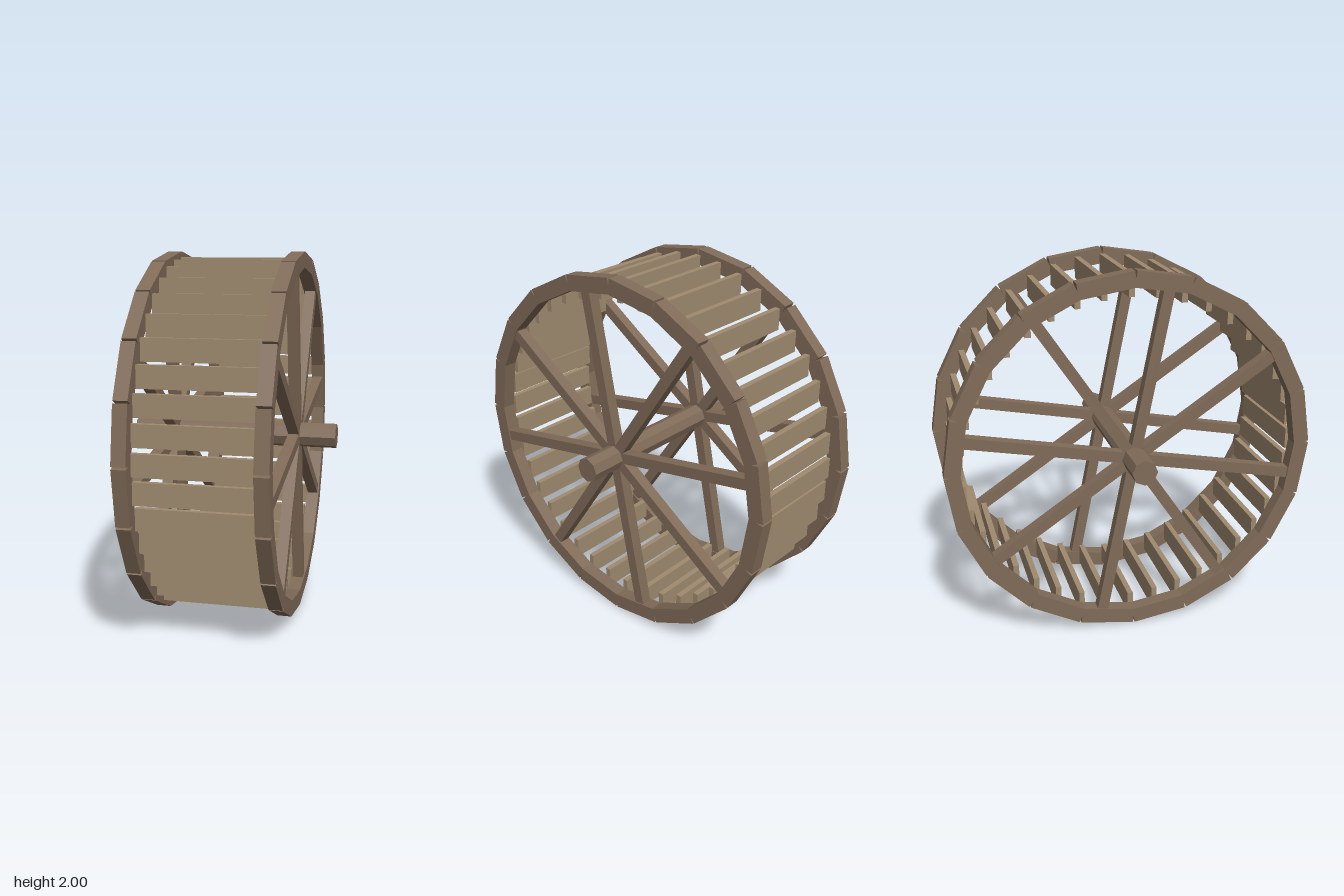
import * as THREE from 'three';

export function createModel() {
  const wheel = new THREE.Group();
  wheel.name = 'waterWheel';
  wheel.position.y = 1;
  const root = new THREE.Group();
  root.add(wheel);

  const darkWood = new THREE.MeshStandardMaterial({ color: 0x806b58 });
  darkWood.name = 'darkWood';
  const lightWood = new THREE.MeshStandardMaterial({ color: 0x9f8a6f });
  lightWood.name = 'lightWood';

  // Places a mesh at an angle around the x axis, measured from +y towards +z
  const place = (geometry, material, name, x, radius, angle, turn, parent) => {
    const mesh = new THREE.Mesh(geometry, material);
    mesh.name = name;
    mesh.position.set(x, radius * Math.cos(angle), radius * Math.sin(angle));
    if (turn) mesh.rotation.x = angle;
    parent.add(mesh);
  };

  const rimInner = 0.903, rimOuter = 0.988;
  const rimBlock = new THREE.BoxGeometry(0.075, rimOuter - rimInner, 0.3);
  const spokeLength = 0.91;
  const spoke = new THREE.BoxGeometry(0.06, spokeLength, 0.06);

  // Two side rings with straight blocks, open joints outside, and eight spokes
  for (const side of [-1, 1]) {
    const ring = new THREE.Group();
    ring.name = side > 0 ? 'leftRing' : 'rightRing';
    const x = side * 0.3425;
    for (let i = 0; i < 20; i++) {
      const angle = (i + 0.5) * Math.PI / 10;
      place(rimBlock, darkWood, 'rimBlock', x, (rimInner + rimOuter) / 2, angle, true, ring);
    }
    for (let i = 0; i < 8; i++) {
      const angle = THREE.MathUtils.degToRad(11.25 + 45 * i);
      place(spoke, darkWood, 'spoke', x, spokeLength / 2, angle, true, ring);
    }
    wheel.add(ring);
  }

  // Forty upright slats between the rings
  const slats = new THREE.Group();
  slats.name = 'slats';
  const slat = new THREE.BoxGeometry(0.61, 0.116, 0.031);
  for (let i = 0; i < 40; i++) {
    place(slat, lightWood, 'slat', 0, 0.91, i * Math.PI / 20, false, slats);
  }
  wheel.add(slats);

  // Eight-sided axle
  const axleGeometry = new THREE.CylinderGeometry(0.068, 0.068, 1.14, 8).toNonIndexed();
  axleGeometry.rotateZ(Math.PI / 2);
  axleGeometry.computeVertexNormals();
  const axle = new THREE.Mesh(axleGeometry, darkWood);
  axle.name = 'axle';
  wheel.add(axle);

  return root;
}
